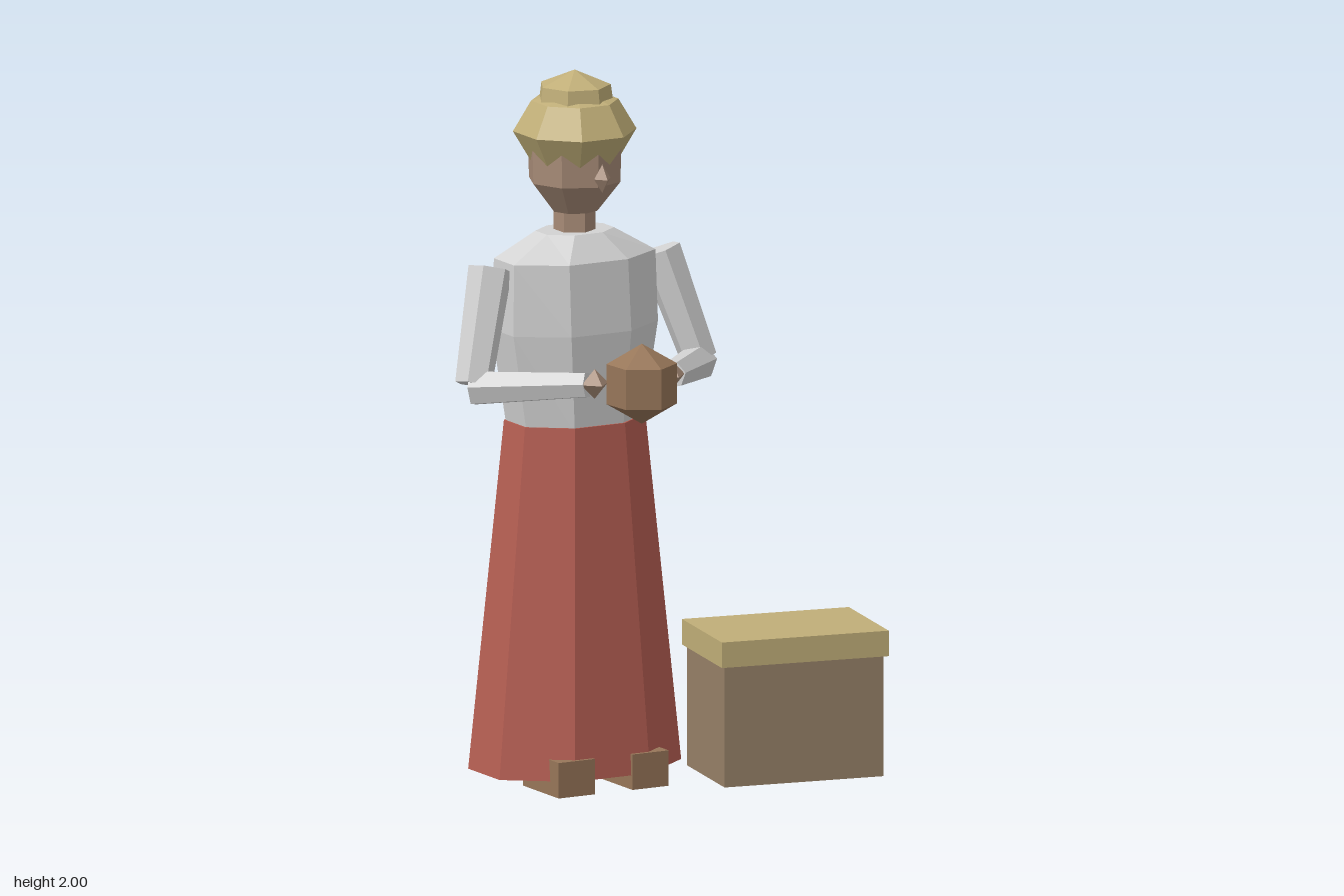
import * as THREE from 'three';

const mat = (name, color) => Object.assign(new THREE.MeshStandardMaterial({ color }), { name });

export function createModel() {
  const shirt = mat('shirt grey', 0xd2d2d2);
  const red = mat('skirt red', 0xb75f53);
  const straw = mat('straw blond', 0xc0ae78);
  const skin = mat('skin', 0xa78b77);
  const wood = mat('crate brown', 0x968067);
  const clay = mat('clay brown', 0x977659);

  // Adds a mesh with faceted normals
  const add = (parent, name, geometry, material, x = 0, y = 0, z = 0) => {
    const g = geometry.index ? geometry.toNonIndexed() : geometry;
    g.computeVertexNormals();
    const mesh = new THREE.Mesh(g, material);
    mesh.name = name;
    mesh.position.set(x, y, z);
    parent.add(mesh);
    return mesh;
  };

  // Closed faceted tube through elliptical rings [y, rx, rz], bottom to top
  const rings = (list, sides = 8, turn = Math.PI / 8) => {
    const pts = list.map(([y, rx]) => new THREE.Vector2(rx, y));
    pts.unshift(new THREE.Vector2(0, list[0][0]));
    pts.push(new THREE.Vector2(0, list[list.length - 1][0]));
    const g = new THREE.LatheGeometry(pts, sides, turn);
    const p = g.attributes.position;
    const n = pts.length;
    for (let i = 0; i < p.count; i++) {
      const ring = list[Math.min(Math.max((i % n) - 1, 0), list.length - 1)];
      if (ring[1] > 0) p.setZ(i, p.getZ(i) * (ring[2] ?? ring[1]) / ring[1]);
    }
    return g;
  };

  // Six-sided limb from a to b
  const limb = (parent, name, a, b, r1, r2, material) => {
    const dir = b.clone().sub(a);
    const mesh = add(parent, name, new THREE.CylinderGeometry(r2, r1, dir.length(), 6), material);
    mesh.position.copy(a).lerp(b, 0.5);
    mesh.quaternion.setFromUnitVectors(new THREE.Vector3(0, 1, 0), dir.normalize());
  };

  const model = new THREE.Group();
  model.name = 'womanWithCrate';

  // Figure, turned slightly towards her left
  const figure = new THREE.Group();
  figure.name = 'figure';
  figure.position.set(-0.245, 0, -0.095);
  figure.rotation.y = 0.35;
  model.add(figure);

  add(figure, 'skirt', rings([[0.04, 0.312, 0.23], [1.02, 0.207, 0.154]]), red);
  add(figure, 'blouse', rings([
    [1.005, 0.2, 0.148], [1.28, 0.248, 0.163], [1.48, 0.243, 0.147], [1.55, 0.115, 0.085],
  ]), shirt);

  // Head, hair and bun
  add(figure, 'neck', new THREE.CylinderGeometry(0.058, 0.058, 0.14, 6), skin, 0, 1.58, 0);
  add(figure, 'head', rings([[1.605, 0.065], [1.69, 0.131], [1.79, 0.134], [1.86, 0.1]], 8, 0), skin);
  const nose = add(figure, 'nose', new THREE.OctahedronGeometry(0.04), skin, 0, 1.72, 0.155);
  nose.scale.set(0.65, 1, 0.75);
  const hair = add(figure, 'hair', new THREE.SphereGeometry(0.172, 8, 4).rotateY(Math.PI / 8), straw, 0, 1.83, 0);
  hair.scale.y = 0.7;
  add(figure, 'hairBun', rings([[1.9, 0.108], [1.958, 0.1], [2, 0]], 7, 0.2), straw);

  // Arms and shoes, mirrored
  for (const s of [1, -1]) {
    const side = s > 0 ? 'left' : 'right';
    const shoulder = new THREE.Vector3(s * 0.268, 1.465, 0);
    const elbow = new THREE.Vector3(s * 0.358, 1.16, 0.065);
    const wrist = new THREE.Vector3(s * 0.135, 1.18, 0.31);
    limb(figure, side + 'UpperArm', shoulder, elbow, 0.062, 0.052, shirt);
    limb(figure, side + 'Forearm', elbow.clone().setY(1.15), wrist, 0.052, 0.038, shirt);
    add(figure, side + 'Hand', new THREE.OctahedronGeometry(0.042), skin, s * 0.122, 1.185, 0.328);
    add(figure, side + 'Shoe', new THREE.BoxGeometry(0.115, 0.1, 0.2), clay, s * 0.117, 0.05, 0.119);
  }

  // Round pot held between the hands
  const pot = add(figure, 'heldPot', new THREE.SphereGeometry(0.113, 6, 3), clay, 0, 1.182, 0.377);
  pot.rotation.y = -0.45;

  // Lidded crate beside her
  const crate = new THREE.Group();
  crate.name = 'crate';
  crate.position.set(0.345, 0, -0.095);
  crate.rotation.y = 0.17;
  model.add(crate);
  add(crate, 'crateBody', new THREE.BoxGeometry(0.465, 0.34, 0.315), wood, 0, 0.17, 0);
  add(crate, 'crateLid', new THREE.BoxGeometry(0.488, 0.072, 0.336), straw, 0, 0.376, 0);

  return model;
}
